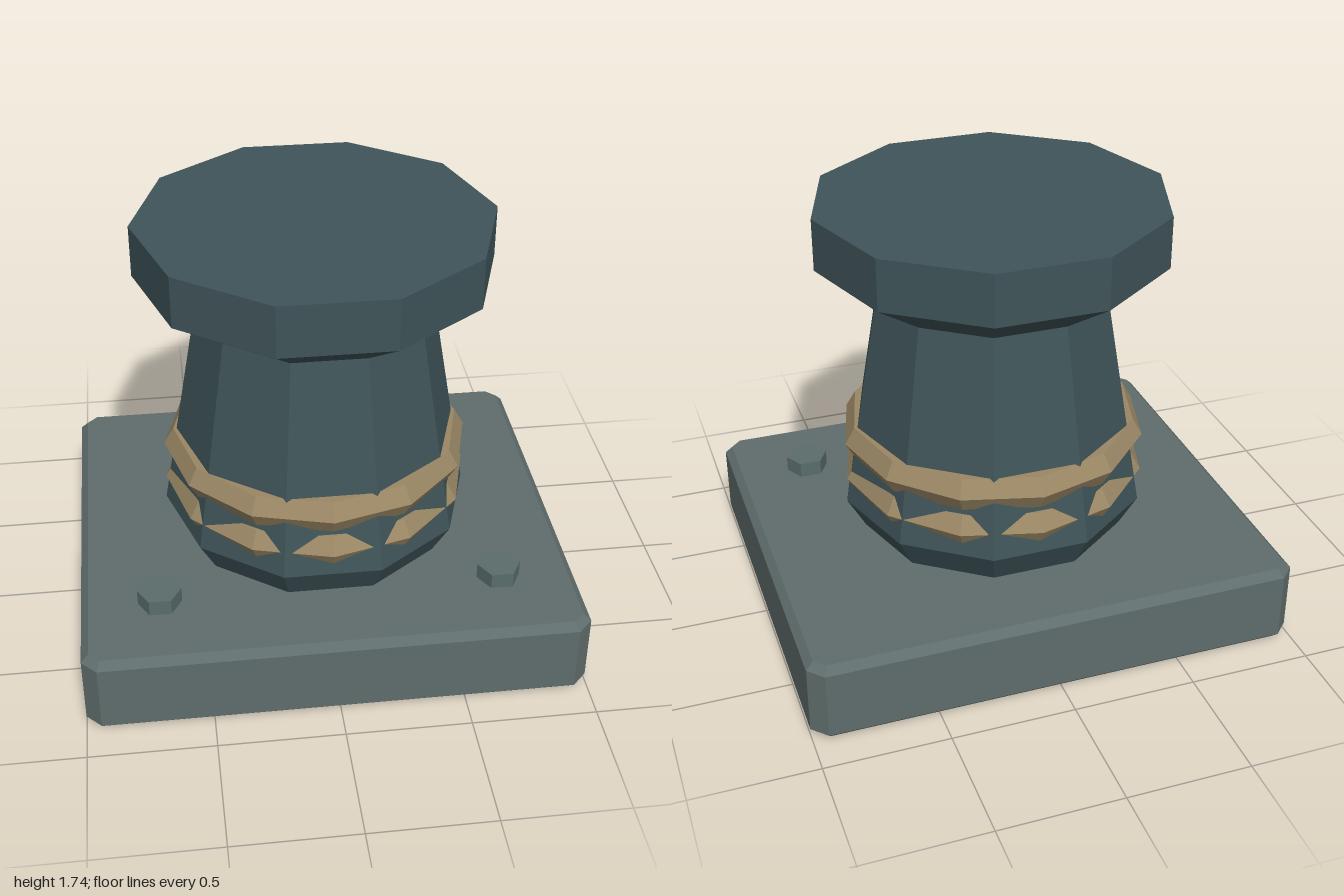
import * as THREE from 'three';

const paint = (color) => new THREE.MeshStandardMaterial({ color, flatShading: true });

export function createModel() {
  const model = new THREE.Group();
  model.name = 'bollard';
  const plateMat = paint(0x5f6d6c);
  const bodyMat = paint(0x3f5459);
  const brassMat = paint(0x9a8765);
  const boltMat = paint(0x5a6d6c);

  const add = (name, geometry, material, x = 0, y = 0, z = 0) => {
    const mesh = new THREE.Mesh(geometry, material);
    mesh.name = name;
    mesh.position.set(x, y, z);
    model.add(mesh);
    return mesh;
  };

  // Base plate: rectangle with cut corners, bevelled top and bottom
  const w = 0.97, d = 0.84, c = 0.042, bevel = 0.03;
  const outline = new THREE.Shape([
    [w, -d + c], [w, d - c], [w - c, d], [-w + c, d],
    [-w, d - c], [-w, -d + c], [-w + c, -d], [w - c, -d],
  ].map(([x, y]) => new THREE.Vector2(x, y)));
  const plate = new THREE.ExtrudeGeometry(outline, {
    depth: 0.28, bevelEnabled: true, bevelSegments: 1, bevelSize: bevel, bevelThickness: bevel,
  });
  plate.rotateX(-Math.PI / 2);
  add('basePlate', plate, plateMat, 0, bevel, 0);

  // Ten-sided post: foot, tapering shaft, flared head
  const profile = [
    [0, 0.34], [0.555, 0.34], [0.63, 0.475], [0.475, 1.37], [0.71, 1.53], [0.71, 1.74], [0, 1.74],
  ].map(([r, y]) => new THREE.Vector2(r, y));
  add('post', new THREE.LatheGeometry(profile, 10, Math.PI / 2), bodyMat);

  // Two bands, partly sunk into the shaft
  const band = new THREE.TorusGeometry(0.545, 0.08, 6, 12).rotateX(Math.PI / 2);
  add('upperBand', band, brassMat, 0, 0.745, 0);
  add('lowerBand', band, brassMat, 0, 0.58, 0);

  // Hex bolts at the two front corners
  const bolt = new THREE.CylinderGeometry(0.088, 0.088, 0.085, 6).rotateY(Math.PI / 6);
  for (const side of [-1, 1]) {
    add(side > 0 ? 'leftBolt' : 'rightBolt', bolt, boltMat, side * 0.685, 0.3625, 0.525);
  }

  return model;
}
